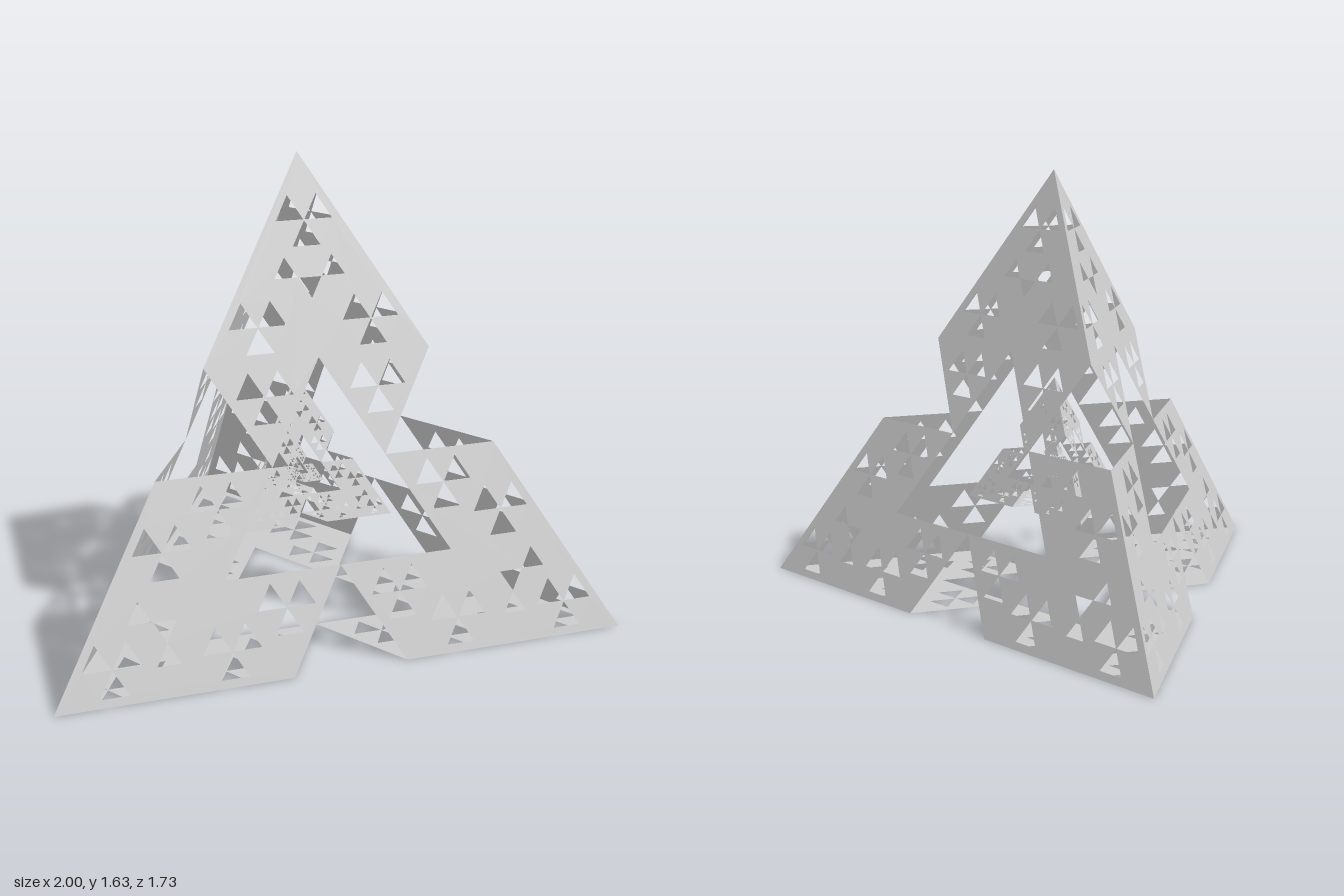
import * as THREE from 'three';

const LEVELS = 4, SHRINK = 0.3;

// Panel coordinates (a, b) run from a tetrahedron corner along two edges, in fifths of an edge.
function triangleHole(p, q, r) {
  const c = [(p[0] + q[0] + r[0]) / 3, (p[1] + q[1] + r[1]) / 3];
  const inset = ([a, b]) => new THREE.Vector2(c[0] + (a - c[0]) * 0.96, c[1] + (b - c[1]) * 0.96);
  return new THREE.Path([p, q, r].map(inset));
}
const upright = (a, b, w) => triangleHole([a, b], [a - w, b + w], [a - w, b]);
const inverted = (a, b, w) => triangleHole([a, b], [a - w, b + w], [a, b + w]);

// Three triangular holes meeting at one point
const pinwheel = (a, b, w) => [upright(a + w, b - w, w), upright(a, b, w), upright(a + w, b, w)];

// Three alternating triangular holes along a line
function holeRow(a, b, w) {
  const at = (make, k) => make(a - k * w, b + k * w, w);
  return [at(upright, -1.5), at(inverted, -0.5), at(upright, 0.5)];
}

// L-shaped panel: six unit triangles, each pierced by three holes
function panelGeometry() {
  const outline = [[0, 0], [2, 0], [2, 1], [1, 1], [1, 2], [0, 2]];
  const shape = new THREE.Shape(outline.map(([a, b]) => new THREE.Vector2(a, b)));
  const centres = [[1, 1], [4, 1], [1, 4], [5, 2], [2, 5]];
  for (const [a, b] of centres) shape.holes.push(...pinwheel(a / 3, b / 3, 0.255));
  shape.holes.push(...holeRow(0.61, 0.61, 0.21));
  return new THREE.ShapeGeometry(shape);
}

export function createModel() {
  const model = new THREE.Group();
  model.name = 'nestedTetrahedra';
  const material = new THREE.MeshStandardMaterial({
    color: 0xcccccc, side: THREE.DoubleSide, flatShading: true,
  });
  const h = Math.sqrt(3) / 2, height = 2 * Math.sqrt(2 / 3);
  const corners = [
    new THREE.Vector3(-1, 0, h), new THREE.Vector3(1, 0, h),
    new THREE.Vector3(0, 0, -h), new THREE.Vector3(0, height, h / 3),
  ];
  const centre = new THREE.Vector3(0, 0.51, h / 3);
  const panel = panelGeometry();

  // One panel for each corner of each face
  const panels = [];
  for (let f = 0; f < 4; f++) {
    const face = corners.filter((_, i) => i !== f);
    for (let i = 0; i < 3; i++) {
      const v = face[i];
      let e1 = face[(i + 1) % 3].clone().sub(v).divideScalar(5);
      let e2 = face[(i + 2) % 3].clone().sub(v).divideScalar(5);
      let normal = e1.clone().cross(e2).normalize();
      // Keep the panel facing away from the opposite corner
      if (normal.dot(corners[f].clone().sub(v)) > 0) {
        [e1, e2] = [e2, e1];
        normal.negate();
      }
      const matrix = new THREE.Matrix4().makeBasis(e1, e2, normal).setPosition(v);
      panels.push(panel.clone().applyMatrix4(matrix));
    }
  }
  for (const g of panels) g.computeVertexNormals();

  // Ever smaller shells nested about the centre
  for (let level = 0; level < LEVELS; level++) {
    const shell = new THREE.Group();
    shell.name = level === 0 ? 'outerShell' : `innerShell${level}`;
    const s = SHRINK ** level;
    shell.scale.setScalar(s);
    shell.position.copy(centre).multiplyScalar(1 - s);
    panels.forEach((g, i) => {
      const mesh = new THREE.Mesh(g, material);
      mesh.name = `cornerPanel${i + 1}`;
      shell.add(mesh);
    });
    model.add(shell);
  }
  return model;
}
